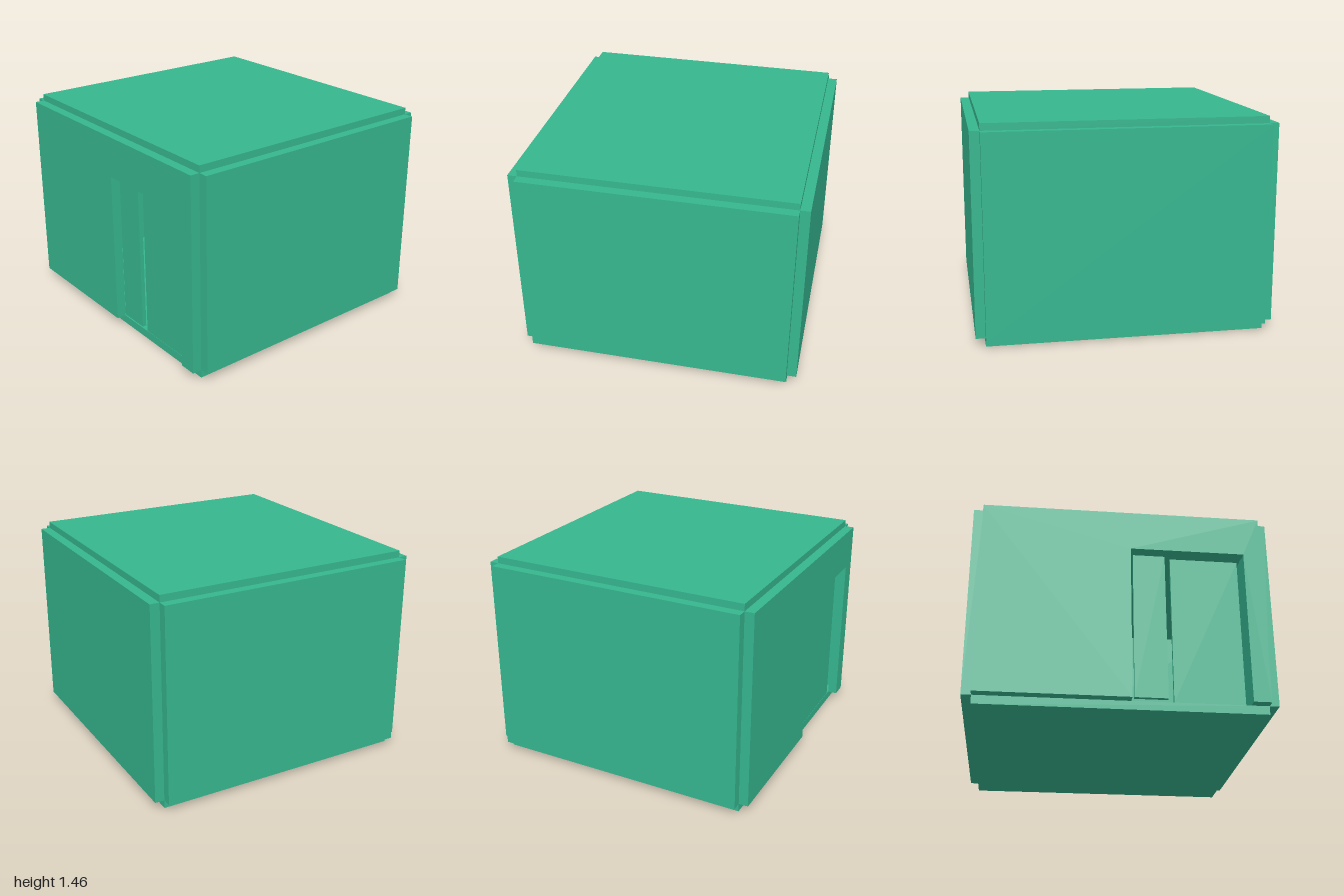
import * as THREE from 'three';

export function createModel() {
  const room = new THREE.Group();
  room.name = 'room';
  const material = new THREE.MeshStandardMaterial({ color: 0x36b78f, flatShading: true });

  // Box given by its lower and upper limits on each axis
  function box(name, [x0, x1], [y0, y1], [z0, z1], parent = room) {
    const mesh = new THREE.Mesh(new THREE.BoxGeometry(x1 - x0, y1 - y0, z1 - z0), material);
    mesh.position.set((x0 + x1) / 2, (y0 + y1) / 2, (z0 + z1) / 2);
    mesh.name = name;
    parent.add(mesh);
    return mesh;
  }

  const floorTop = 0.058, ceiling = 1.41;
  const innerX = 0.935, innerZ = 0.902, outerZ = 0.967;

  // Floor and roof slabs, inset from the wall faces
  box('floor', [-innerX, innerX], [0, floorTop], [-innerZ, innerZ]);
  box('roof', [-innerX, innerX], [ceiling, 1.457], [-innerZ, innerZ]);

  // Side and back walls
  box('leftWall', [innerX, 1], [floorTop, ceiling], [-innerZ, innerZ]);
  box('rightWall', [-1, -innerX], [floorTop, ceiling], [-innerZ, innerZ]);
  box('backWall', [-innerX, innerX], [floorTop, ceiling], [-outerZ, -innerZ]);

  // Front wall, cut around the doorway
  const doorL = 0.055, doorR = 0.818, doorTop = 1.13;
  const outline = new THREE.Shape([
    [-innerX, floorTop], [doorL, floorTop], [doorL, doorTop], [doorR, doorTop],
    [doorR, floorTop], [innerX, floorTop], [innerX, ceiling], [-innerX, ceiling],
  ].map(([x, y]) => new THREE.Vector2(x, y)));
  const frontWall = new THREE.Mesh(
    new THREE.ExtrudeGeometry(outline, { depth: outerZ - innerZ, bevelEnabled: false }), material);
  frontWall.position.z = innerZ;
  frontWall.name = 'frontWall';
  room.add(frontWall);

  // Narrow and wide door leaves, set back in the doorway
  box('narrowDoor', [0.075, 0.29], [0.08, 1.113], [0.885, 0.913]);
  box('wideDoor', [0.327, 0.785], [floorTop, 1.103], [0.872, 0.9]);

  // Bench along the back wall, glimpsed through the door gaps
  const bench = new THREE.Group();
  bench.name = 'bench';
  room.add(bench);
  box('benchSeat', [-0.1, 0.82], [0.295, 0.34], [-0.88, -0.45], bench);
  box('benchBack', [-0.1, 0.82], [0.34, 0.49], [-0.88, -0.82], bench);
  for (let i = 0; i < 6; i++) {
    const x = -0.1 + i * 0.176;
    box('benchLeg', [x, x + 0.04], [floorTop, 0.295], [-0.86, -0.47], bench);
  }
  return room;
}
